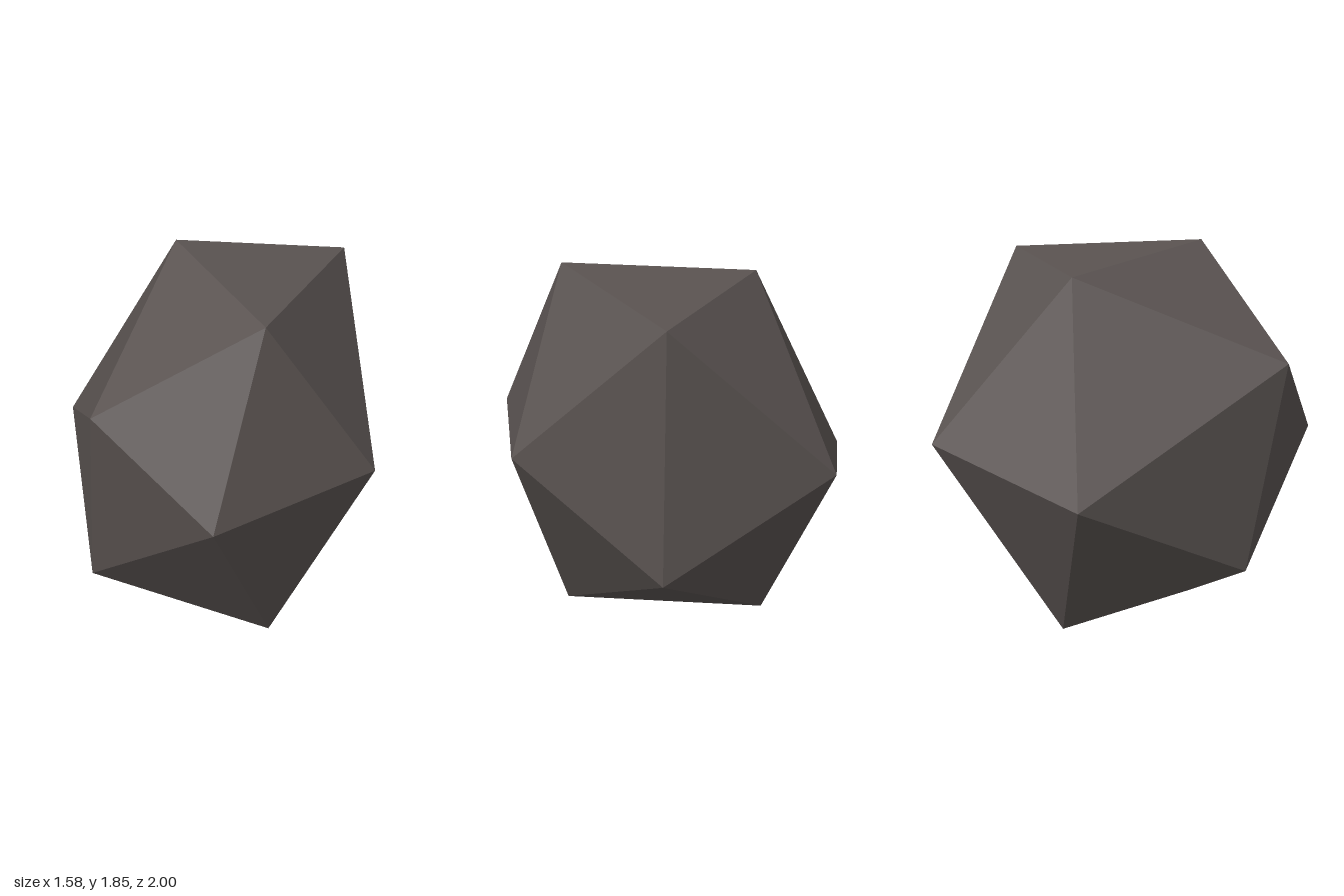
import * as THREE from 'three';

// An irregular twenty-sided rock: two poles joined by two staggered rings of five corners.
export function createModel() {
  const group = new THREE.Group();
  group.name = 'rock';

  const stone = new THREE.MeshStandardMaterial({ color: 0x5a5351 });
  stone.name = 'dark stone';

  const top = [0.24, 1.85, 0.51];
  const bottom = [-0.24, 0, -0.38];
  // Both rings run counter-clockwise seen from above
  const upper = [
    [-0.26, 1.83, -0.34], [-0.64, 1.39, 0.69], [0, 0.9, 1],
    [0.79, 0.98, 0.45], [0.59, 1.8, -0.36],
  ];
  // Each lower corner sits between two upper ones
  const lower = [
    [-0.79, 0.73, -0.48], [-0.64, 0.33, 0.46], [0.25, 0.03, 0.46],
    [0.64, 0.41, -0.37], [0, 0.95, -1],
  ];

  // Cap, two belt triangles and base for each fifth
  const corners = [];
  for (let i = 0; i < 5; i++) {
    const j = (i + 1) % 5;
    corners.push(
      top, upper[i], upper[j],
      upper[i], lower[i], upper[j],
      lower[i], lower[j], upper[j],
      bottom, lower[j], lower[i],
    );
  }

  // Unshared corners give flat facets
  const geometry = new THREE.BufferGeometry();
  geometry.setAttribute('position', new THREE.Float32BufferAttribute(corners.flat(), 3));
  geometry.computeVertexNormals();

  const mesh = new THREE.Mesh(geometry, stone);
  mesh.name = 'boulder';
  group.add(mesh);
  return group;
}
